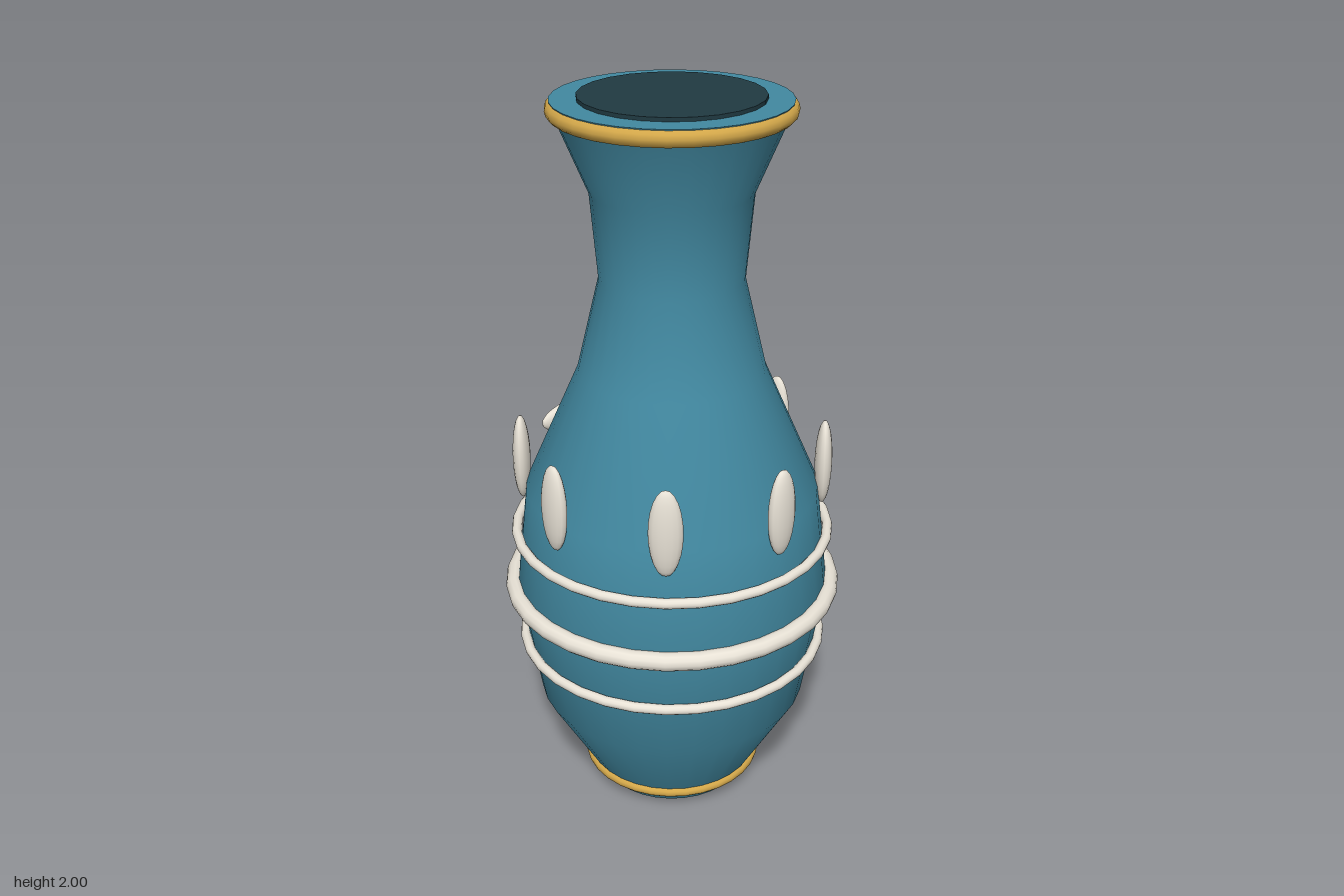
import * as THREE from 'three';

const glaze = new THREE.MeshStandardMaterial({ color: 0x4289a1 });
const gold = new THREE.MeshStandardMaterial({ color: 0xd4a84a });
const cream = new THREE.MeshStandardMaterial({ color: 0xe8e2d6 });
const dark = new THREE.MeshStandardMaterial({ color: 0x203a42 });

const SIDES = 32;

export function createModel() {
  const vase = new THREE.Group();
  vase.name = 'vase';

  const add = (name, geometry, material, y = 0) => {
    const mesh = new THREE.Mesh(geometry, material);
    mesh.name = name;
    mesh.position.y = y;
    vase.add(mesh);
    return mesh;
  };

  // Turned body, from foot to flared lip
  const profile = [
    [0.21, 0], [0.38, 0.3], [0.435, 0.64], [0.40, 0.94], [0.25, 1.28],
    [0.19, 1.53], [0.21, 1.76], [0.29, 1.95], [0.302, 1.99],
  ].map(([r, y]) => new THREE.Vector2(r, y));
  add('body', new THREE.LatheGeometry(profile, SIDES), glaze);

  // Flat closures of the foot and lip
  add('base', new THREE.CircleGeometry(0.21, SIDES).rotateX(Math.PI / 2), glaze);
  add('lip', new THREE.CircleGeometry(0.302, SIDES).rotateX(-Math.PI / 2), glaze, 1.99);

  // Dark disc in the mouth
  add('mouth', new THREE.CylinderGeometry(0.235, 0.235, 0.02, 24), dark, 1.99);

  // Rings: name, height, radius, thickness, material
  const rings = [
    ['footRing', 0.053, 0.242, 0.015, gold],
    ['lowerBand', 0.473, 0.421, 0.014, cream],
    ['middleBand', 0.642, 0.444, 0.025, cream],
    ['upperBand', 0.81, 0.431, 0.014, cream],
    ['lipRing', 1.967, 0.29, 0.023, gold],
  ];
  for (const [name, y, radius, tube, material] of rings) {
    add(name, new THREE.TorusGeometry(radius, tube, 12, SIDES).rotateX(Math.PI / 2), material, y);
  }

  // Eight petals round the shoulder; the back one lies on its side
  const petal = new THREE.SphereGeometry(1, 16, 12).scale(0.045, 0.123, 0.024);
  for (let i = 0; i < 8; i++) {
    const angle = (i * Math.PI) / 4;
    const mesh = add('petal' + (i + 1), petal, cream, 1.003);
    mesh.position.x = 0.412 * Math.sin(angle);
    mesh.position.z = 0.412 * Math.cos(angle);
    mesh.rotation.set(0, angle, i === 4 ? Math.PI / 2 : 0);
  }

  return vase;
}
